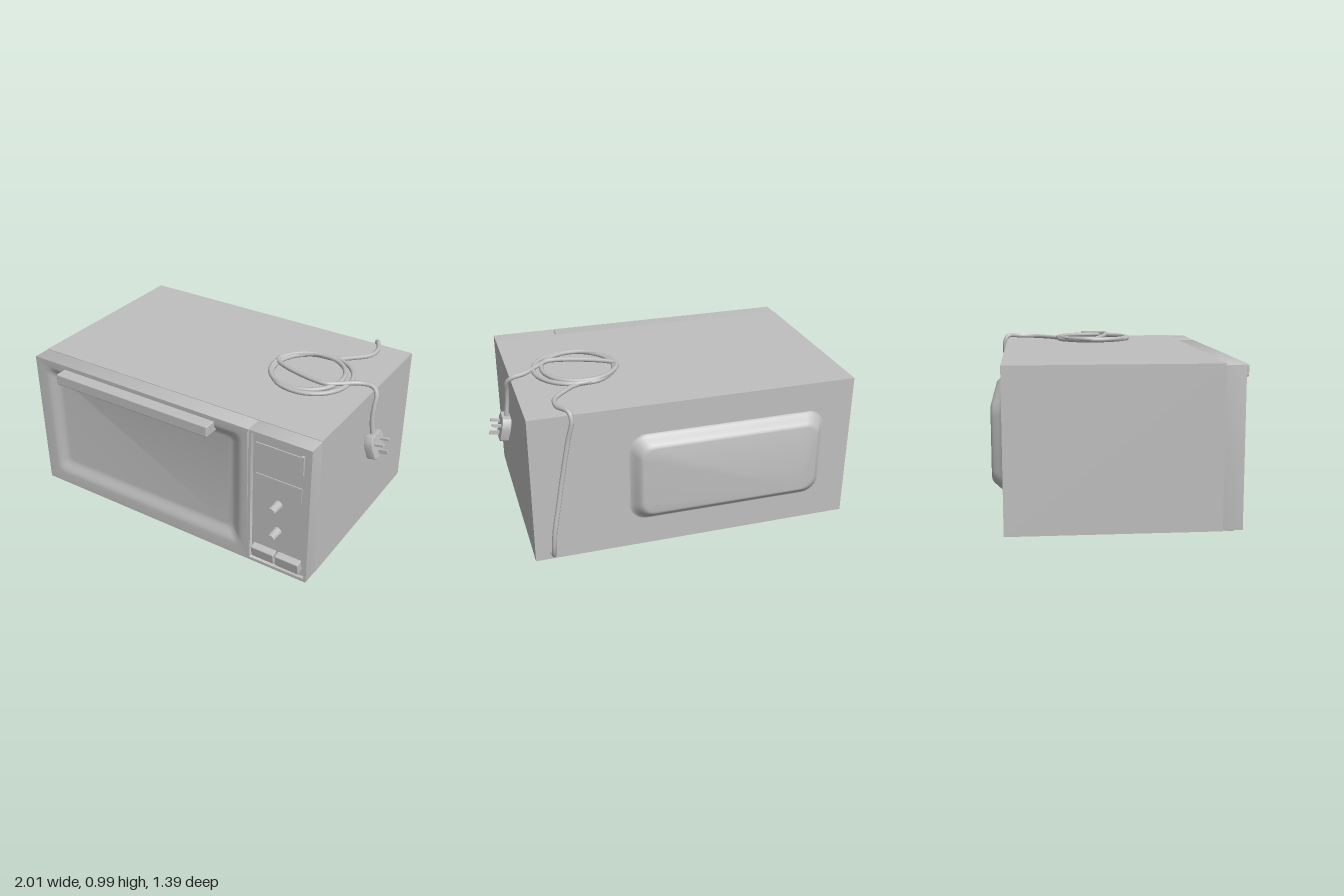
import * as THREE from 'three';
import { toCreasedNormals } from 'three/addons/utils/BufferGeometryUtils.js';
import { RoundedBoxGeometry } from 'three/addons/geometries/RoundedBoxGeometry.js';

const V = (x, y, z) => new THREE.Vector3(x, y, z);

// Rounded rectangle as a counter-clockwise loop of points
function ring([x0, x1, y0, y1, r, z]) {
  const pts = [], n = 6;
  const corners = [[x1 - r, y0 + r, -1], [x1 - r, y1 - r, 0], [x0 + r, y1 - r, 1], [x0 + r, y0 + r, 2]];
  for (const [cx, cy, q] of corners)
    for (let i = 0; i <= n; i++) {
      const a = (q + i / n) * Math.PI / 2;
      pts.push([cx + r * Math.cos(a), cy + r * Math.sin(a), z]);
    }
  return pts;
}

// Skin through a series of rounded rectangles, closed at the last one
function loft(specs, crease = 0.5) {
  const rings = specs.map(ring), pos = [], n = rings[0].length;
  for (let k = 0; k < rings.length - 1; k++)
    for (let j = 0; j < n; j++) {
      const a = rings[k], b = rings[k + 1], m = (j + 1) % n;
      pos.push(...a[j], ...a[m], ...b[m], ...a[j], ...b[m], ...b[j]);
    }
  const last = rings[rings.length - 1];
  for (let j = 1; j < n - 1; j++) pos.push(...last[0], ...last[j], ...last[j + 1]);
  const g = new THREE.BufferGeometry();
  g.setAttribute('position', new THREE.Float32BufferAttribute(pos, 3));
  return toCreasedNormals(g, crease);
}

export function createModel() {
  const model = new THREE.Group();
  model.name = 'microwaveOven';
  const grey = new THREE.MeshStandardMaterial({ color: 0xbfbfbf });
  grey.name = 'grey';

  const add = (name, geo, x = 0, y = 0, z = 0, parent = model) => {
    const m = new THREE.Mesh(geo, grey);
    m.name = name;
    m.position.set(x, y, z);
    parent.add(m);
    return m;
  };
  // Box given by its limits
  const box = (name, x0, x1, y0, y1, z0, z1) =>
    add(name, new THREE.BoxGeometry(x1 - x0, y1 - y0, z1 - z0), (x0 + x1) / 2, (y0 + y1) / 2, (z0 + z1) / 2);

  // Casing
  box('casing', -1, 0.87, 0.062, 0.94, -0.62, 0.515);

  // Door with a softly dished window
  const door = [
    [-1, 0.488, 0.066, 0.937, 0.002, 0.515],
    [-1, 0.488, 0.066, 0.937, 0.002, 0.62],
  ];
  for (let i = 0; i <= 6; i++) {
    const t = i / 6, s = t * t * (3 - 2 * t);
    door.push([-0.93 + 0.09 * t, 0.455 - 0.095 * t, 0.135 + 0.095 * t, 0.895 - 0.075 * t, 0.05 - 0.02 * t, 0.62 - 0.035 * s]);
  }
  add('door', loft(door, 0.7));

  // Handle bar
  add('handle', new RoundedBoxGeometry(1.055, 0.068, 0.105, 2, 0.008), -0.252, 0.878, 0.637);

  // Control panel with a shallow recess
  add('controlPanel', loft([
    [0.492, 0.87, 0.066, 0.937, 0.002, 0.515],
    [0.492, 0.87, 0.066, 0.937, 0.002, 0.62],
    [0.508, 0.855, 0.085, 0.925, 0.004, 0.62],
    [0.514, 0.849, 0.091, 0.919, 0.004, 0.605],
  ]));
  box('display', 0.53, 0.8, 0.765, 0.87, 0.6, 0.612);
  box('displayEdge', 0.805, 0.822, 0.765, 0.88, 0.6, 0.62);
  box('programPlate', 0.535, 0.815, 0.575, 0.675, 0.6, 0.611);

  // Knobs
  for (const y of [0.515, 0.335]) {
    add('knob', new THREE.CylinderGeometry(0.023, 0.026, 0.085, 24).rotateX(Math.PI / 2), 0.675, y, 0.642);
  }

  // Wedge buttons, tilted outward at the top
  for (const [x, y, w, h, z] of [[0.6, 0.155, 0.145, 0.075, 0.618], [0.763, 0.166, 0.145, 0.078, 0.63]]) {
    const b = add('button', new RoundedBoxGeometry(w, h, 0.045, 2, 0.006), x, y, z);
    b.rotation.x = 0.2;
  }

  // Raised panel on the back
  const bulge = [];
  for (let i = 0; i <= 8; i++) {
    const t = i / 8, e = 0.075 * t, s = t * t * (3 - 2 * t);
    bulge.push([-0.33 + e, 0.835 - e, 0.225 + e, 0.775 - e, 0.1 - e * 0.4, 0.618 + 0.065 * s]);
  }
  add('backBulge', loft(bulge, 0.7).rotateY(Math.PI));

  // Feet
  const footProfile = [[0, 0], [0.034, 0], [0.034, 0.008], [0.024, 0.012], [0.024, 0.065]].map(p => new THREE.Vector2(...p));
  for (const x of [-0.735, 0.605])
    for (const z of [0.44, -0.49])
      add('foot', toCreasedNormals(new THREE.LatheGeometry(footProfile, 20), 0.5), x, 0, z);

  // Power cord: up the back, coiled on top, over the side
  const path = [
    V(0.77, 0.1, -0.615), V(0.77, 0.105, -0.65), V(0.772, 0.16, -0.675), V(0.765, 0.27, -0.682), V(0.735, 0.42, -0.665),
    V(0.7, 0.6, -0.647), V(0.66, 0.8, -0.637), V(0.635, 0.92, -0.637), V(0.645, 0.96, -0.615),
    V(0.69, 0.957, -0.53), V(0.685, 0.955, -0.44), V(0.61, 0.955, -0.35),
  ];
  for (let i = 0; i <= 25; i++) {
    const a = -1.45 - (i / 25) * Math.PI * 4.5, r = i < 12 ? 0.232 : 0.214;
    const cx = i < 12 ? 0.5 : 0.47;
    path.push(V(cx + r * Math.cos(a), 0.954 + 0.012 * (i / 25), -0.055 + r * Math.sin(a)));
  }
  path.push(
    V(0.62, 0.975, 0.04), V(0.7, 0.972, -0.01), V(0.79, 0.966, -0.085), V(0.86, 0.957, -0.1),
    V(0.89, 0.925, -0.085), V(0.892, 0.86, -0.06), V(0.894, 0.78, -0.045), V(0.905, 0.69, -0.043));
  add('cord', new THREE.TubeGeometry(new THREE.CatmullRomCurve3(path), 320, 0.0135, 8));
  add('cordGrommet', new THREE.CylinderGeometry(0.017, 0.017, 0.03, 16).rotateX(Math.PI / 2), 0.77, 0.1, -0.632);

  // Plug with three pins
  const plug = new THREE.Group();
  plug.name = 'plug';
  plug.position.set(0.92, 0.63, -0.043);
  plug.rotation.z = 0.2;
  model.add(plug);
  const half = [[0.04, -0.072], [0.055, -0.06], [0.07, 0.005], [0.066, 0.045], [0.05, 0.066]];
  const outline = [...half, ...half.map(([x, y]) => [-x, y]).reverse()].map(p => new THREE.Vector2(...p));
  const body = new THREE.ExtrudeGeometry(new THREE.Shape(outline), {
    depth: 0.038, bevelEnabled: true, bevelSize: 0.004, bevelThickness: 0.007, bevelSegments: 2,
  });
  add('plugBody', toCreasedNormals(body.translate(0, 0, -0.019).rotateY(Math.PI / 2), 0.6), 0, 0, 0, plug);
  for (const [y, z, h, d] of [[0.02, 0.038, 0.012, 0.02], [0.02, -0.038, 0.012, 0.02], [-0.042, 0, 0.024, 0.012]])
    add('plugPin', new THREE.BoxGeometry(0.06, h, d), 0.05, y, z, plug);

  return model;
}
